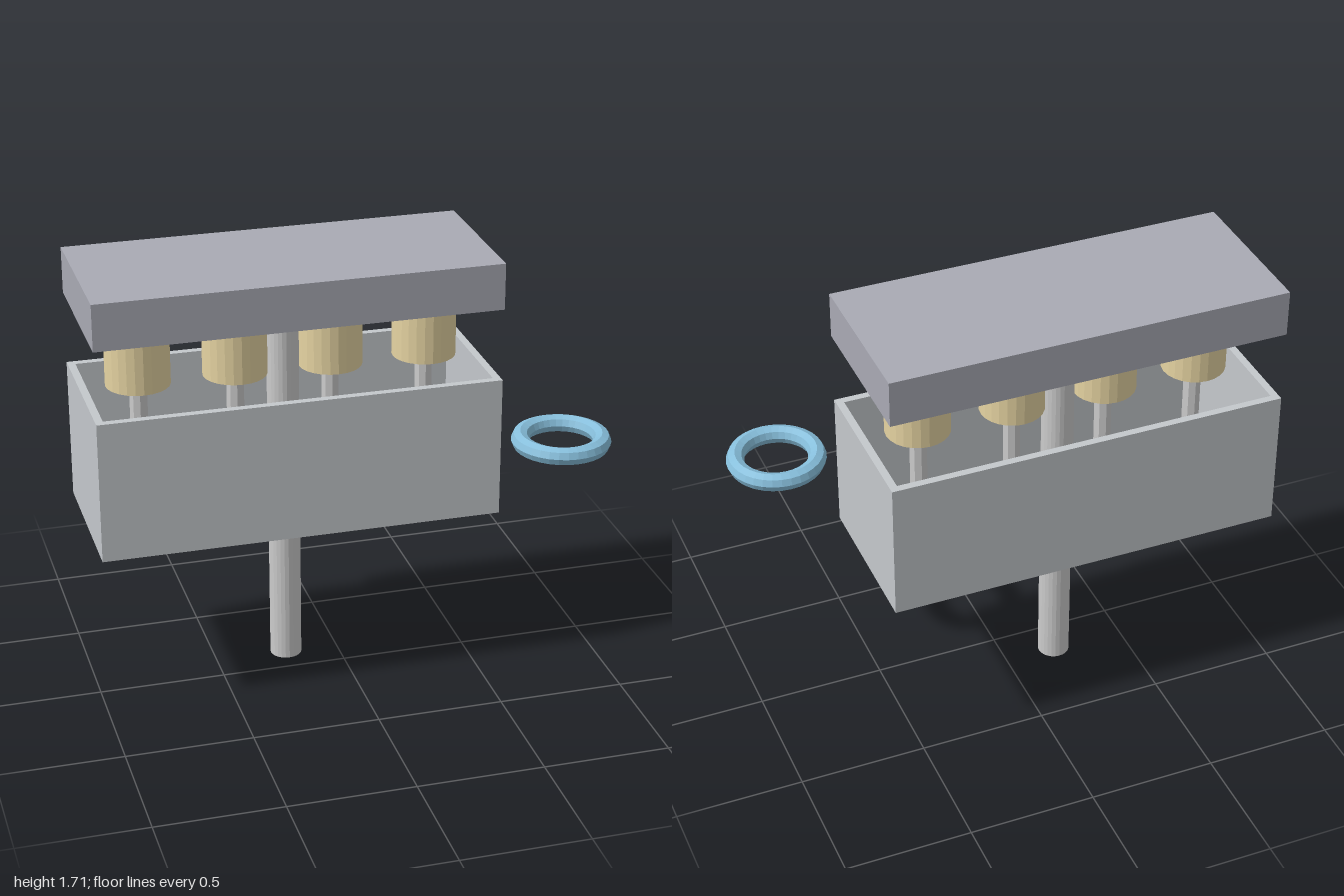
import * as THREE from 'three';

const CX = -0.21, CZ = -0.13;      // centre of box, lid and pole
const W = 1.58, D = 0.635, T = 0.03; // box width, depth, wall thickness
const BOTTOM = 0.67, RIM = 1.235;

const mat = (color) => new THREE.MeshStandardMaterial({ color, flatShading: true });

function add(group, name, geometry, material, x, y, z) {
  const mesh = new THREE.Mesh(geometry, material);
  mesh.name = name;
  mesh.position.set(x, y, z);
  group.add(mesh);
  return mesh;
}

// upright cylinder between two heights
function post(group, name, r, y0, y1, sides, material, x) {
  const geo = new THREE.CylinderGeometry(r, r, y1 - y0, sides);
  return add(group, name, geo, material, x, (y0 + y1) / 2, CZ);
}

// rectangle outline, shared by the wall shape and its opening
function rectangle(path, w, d) {
  path.moveTo(-w / 2, -d / 2);
  path.lineTo(w / 2, -d / 2);
  path.lineTo(w / 2, d / 2);
  path.lineTo(-w / 2, d / 2);
  path.closePath();
  return path;
}

export function createModel() {
  const model = new THREE.Group();
  const grey = mat(0xcccccc);
  const boxMat = mat(0xc4c8cc);
  const lidMat = mat(0xa9aab4);
  const cork = mat(0xe6d4a2);
  const blue = mat(0x87bfdc);

  // open-topped box: four walls and a floor
  const box = new THREE.Group();
  box.name = 'box';
  const outline = rectangle(new THREE.Shape(), W, D);
  outline.holes.push(rectangle(new THREE.Path(), W - 2 * T, D - 2 * T));
  const wallGeo = new THREE.ExtrudeGeometry(outline, { depth: RIM - BOTTOM, bevelEnabled: false });
  wallGeo.rotateX(-Math.PI / 2);
  add(box, 'boxWalls', wallGeo, boxMat, CX, BOTTOM, CZ);
  add(box, 'boxFloor', new THREE.BoxGeometry(W - 2 * T, T, D - 2 * T), boxMat, CX, BOTTOM + T / 2, CZ);
  model.add(box);

  // lid hovering on top of the pole
  add(model, 'lid', new THREE.BoxGeometry(W, 0.185, D), lidMat, CX, 1.6175, CZ);

  // centre pole from the ground to the lid
  post(model, 'pole', 0.063, 0, 1.525, 24, grey, CX);

  // row of four drums on thin stems
  for (let i = 0; i < 4; i++) {
    const x = CX + (i - 1.5) * 0.38;
    post(model, 'stem' + (i + 1), 0.035, BOTTOM + T, 1.25, 8, grey, x);
    post(model, 'drum' + (i + 1), 0.126, 1.25, 1.475, 24, cork, x);
  }

  // loose ring beside the box
  const ringGeo = new THREE.TorusGeometry(0.159, 0.036, 8, 32);
  ringGeo.rotateX(Math.PI / 2);
  add(model, 'ring', ringGeo, blue, 0.805, 0.985, 0.248);

  return model;
}
